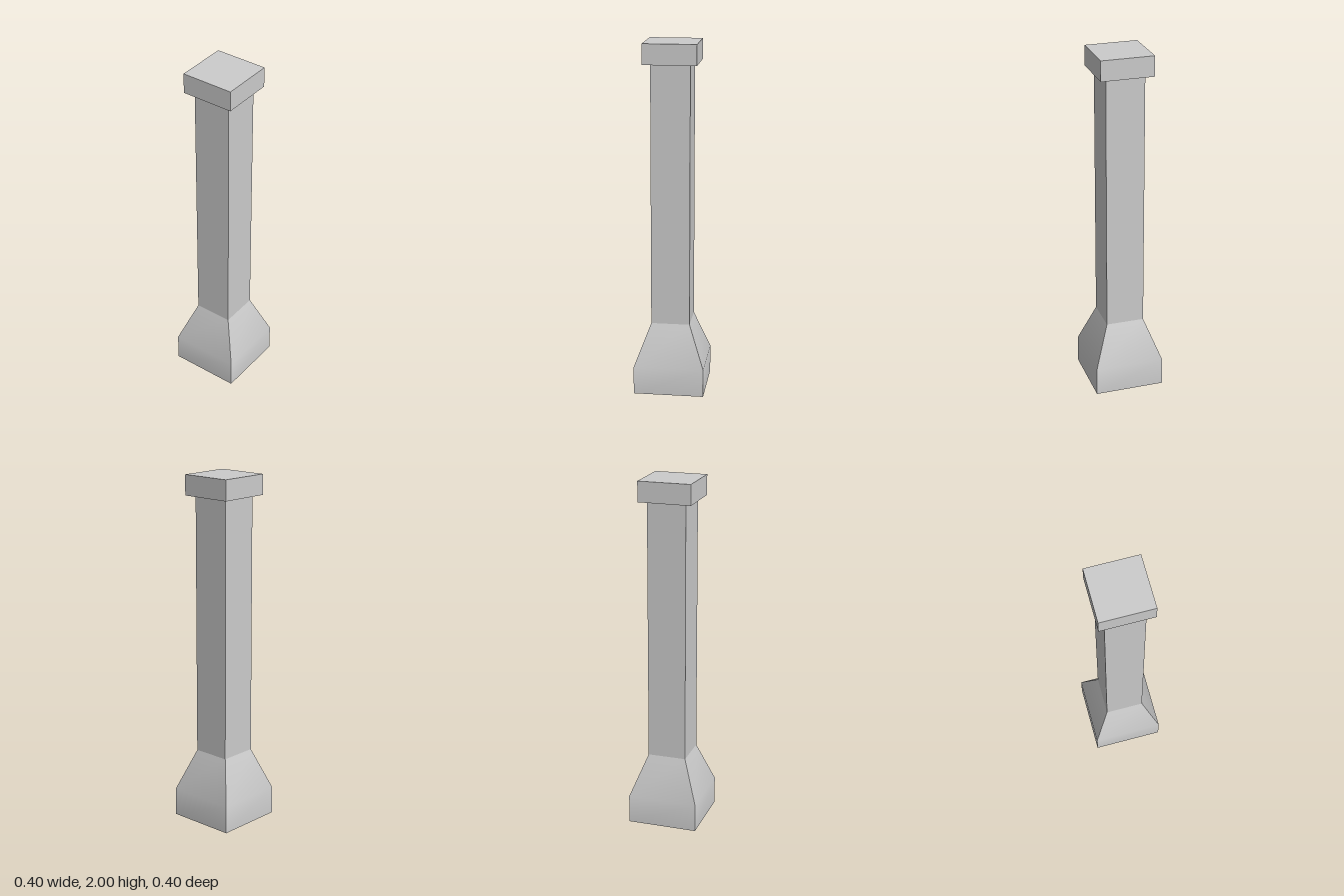
import * as THREE from 'three';

const material = new THREE.MeshStandardMaterial({ color: 0xcccccc });

function addPart(group, name, geometry) {
  const mesh = new THREE.Mesh(geometry, material);
  mesh.name = name;
  group.add(mesh);
}

// Square block of half-width r between heights y0 and y1
function block(r, y0, y1) {
  return new THREE.BoxGeometry(2 * r, y1 - y0, 2 * r).translate(0, (y0 + y1) / 2, 0);
}

// Square pedestal: straight sides up to the shoulder, then tapering to the top.
// Each side is smooth across the shoulder, with sharp vertical corners.
function flaredBase(rBottom, rTop, shoulder, height) {
  const geometry = new THREE.BoxGeometry(2, 2, 2, 1, 2, 1);
  const p = geometry.attributes.position;
  for (let i = 0; i < p.count; i++) {
    const level = Math.round(p.getY(i)); // -1 bottom, 0 shoulder, 1 top
    const r = level > 0 ? rTop : rBottom;
    p.setXYZ(i, p.getX(i) * r, [0, shoulder, height][level + 1], p.getZ(i) * r);
  }
  geometry.computeVertexNormals();
  return geometry;
}

export function createModel() {
  const pillar = new THREE.Group();
  pillar.name = 'pillar';
  addPart(pillar, 'base', flaredBase(0.2, 0.11, 0.16, 0.4));
  addPart(pillar, 'shaft', block(0.11, 0.4, 1.885));
  addPart(pillar, 'cap', block(0.15, 1.885, 2));
  return pillar;
}
